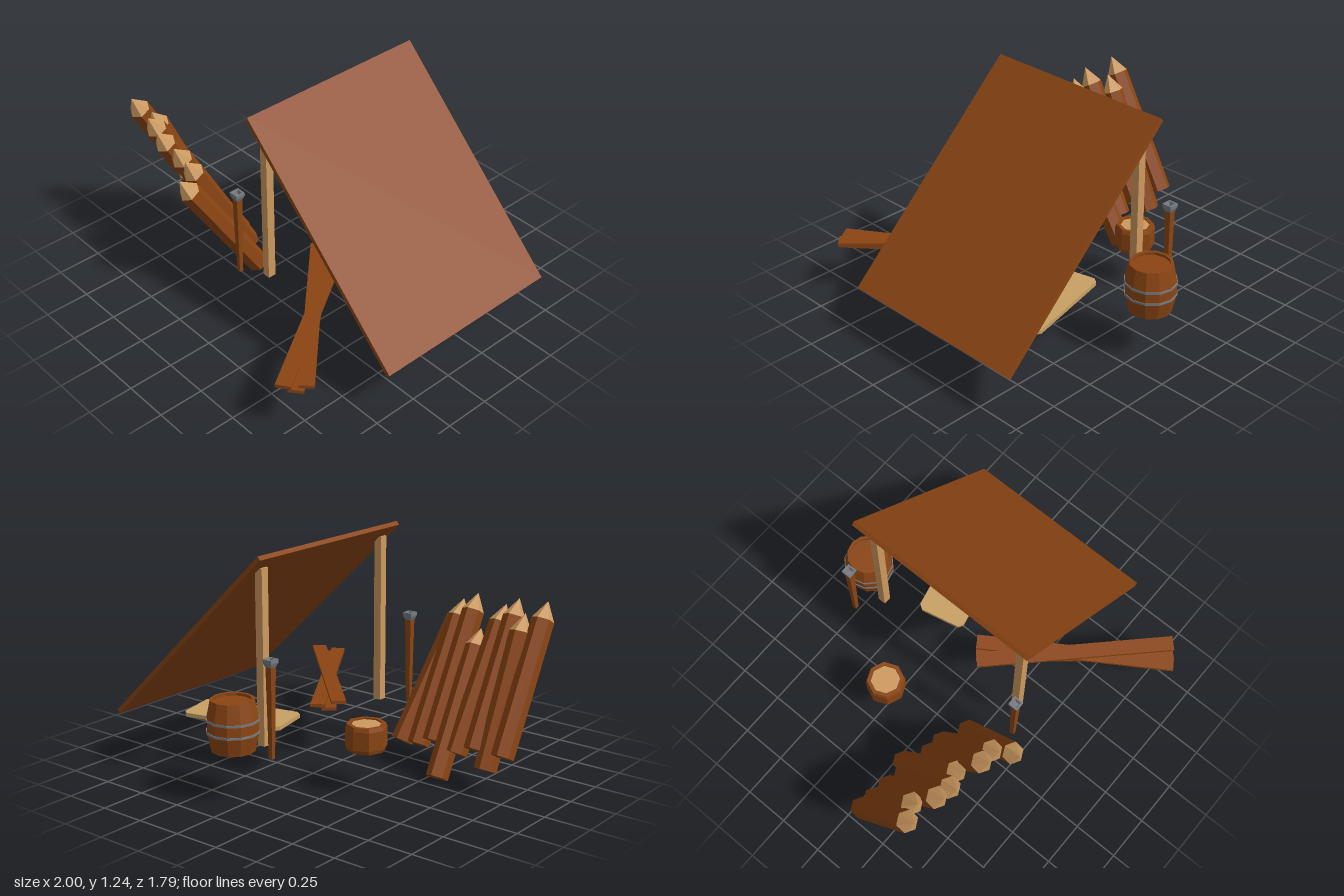
import * as THREE from 'three';

const mat = (color) => new THREE.MeshStandardMaterial({ color, flatShading: true });
const wood = mat(0x8b4513);
const paleWood = mat(0xcd9a5f);
const cloth = mat(0xc8a064);
const iron = mat(0x777b80);

function add(parent, name, geometry, material, x = 0, y = 0, z = 0) {
  const mesh = new THREE.Mesh(geometry, material);
  mesh.name = name;
  mesh.position.set(x, y, z);
  parent.add(mesh);
  return mesh;
}

function addGroup(parent, name, x = 0, y = 0, z = 0) {
  const group = new THREE.Group();
  group.name = name;
  group.position.set(x, y, z);
  parent.add(group);
  return group;
}

// Revolved low-poly shape from [radius, height] pairs, listed bottom to top
const turned = (points, sides) =>
  new THREE.LatheGeometry(points.map(([r, y]) => new THREE.Vector2(r, y)), sides);

// Sharpened six-sided log running from base to tip
function addStake(parent, base, tip) {
  const r = 0.059, point = 0.1;
  const axis = tip.clone().sub(base);
  const body = axis.length() - point;
  const stake = addGroup(parent, 'stake', base.x, base.y, base.z);
  stake.quaternion.setFromUnitVectors(new THREE.Vector3(0, 1, 0), axis.normalize());
  add(stake, 'stakeLog', new THREE.CylinderGeometry(r, r, body, 6), wood, 0, body / 2, 0);
  add(stake, 'stakePoint', new THREE.ConeGeometry(r, point, 6), paleWood, 0, body + point / 2, 0);
}

function addPalisade(parent) {
  const fence = addGroup(parent, 'palisade');
  // base x, y, z, then tip x, y, z
  const stakes = [
    [-0.955, 0.22, 0.07, -0.948, 0.94, 0.47],
    [-0.857, 0.13, 0.07, -0.855, 0.875, 0.41],
    [-0.773, 0.21, 0.10, -0.762, 0.92, 0.50],
    [-0.652, 0.16, 0.11, -0.678, 0.875, 0.51],
    [-0.588, 0.035, 0.035, -0.56, 0.735, 0.46],
    [-0.484, 0.18, 0.15, -0.478, 0.895, 0.55],
    [-0.388, 0.14, 0.15, -0.393, 0.853, 0.545],
    [-0.238, 0.11, 0.21, -0.335, 0.805, 0.63],
  ];
  for (const [a, b, c, d, e, f] of stakes) {
    addStake(fence, new THREE.Vector3(a, b, c), new THREE.Vector3(d, e, f));
  }
}

// Sloping roof board on two posts
function addLeanTo(parent) {
  const leanTo = addGroup(parent, 'leanTo');
  const roof = add(leanTo, 'roof', new THREE.BoxGeometry(1.42, 0.025, 1.11), wood, 0.472, 0.745, -0.135);
  roof.rotation.z = -0.763;
  for (const z of [-0.605, 0.347]) {
    add(leanTo, 'post', new THREE.BoxGeometry(0.045, 0.91, 0.045), paleWood, 0.02, 0.715, z);
  }
}

// Sleeping mat with clipped corners
function addMat(parent) {
  const w = 0.285, d = 0.135, c = 0.025;
  const outline = new THREE.Shape([
    [-w + c, -d], [w - c, -d], [w, -d + c], [w, d - c],
    [w - c, d], [-w + c, d], [-w, d - c], [-w, -d + c],
  ].map(([x, y]) => new THREE.Vector2(x, y)));
  const geometry = new THREE.ExtrudeGeometry(outline, { depth: 0.022, bevelEnabled: false });
  geometry.rotateX(-Math.PI / 2);
  add(parent, 'sleepingMat', geometry, cloth, 0.4, 0.26, -0.35).rotation.y = 0.22;
}

// Three planks stacked and fanned about their middles
function addPlanks(parent) {
  const stack = addGroup(parent, 'plankStack', 0.435, 0, 0.415);
  [[0.273, 0.69], [0.291, 0.575], [0.309, 0.785]].forEach(([y, turn]) => {
    add(stack, 'plank', new THREE.BoxGeometry(0.08, 0.018, 1.08), wood, 0, y, 0).rotation.y = turn;
  });
}

function addBarrel(parent) {
  const barrel = addGroup(parent, 'barrel', 0.083, 0.265, -0.762);
  add(barrel, 'barrelStaves', turned([
    [0, 0], [0.112, 0], [0.132, 0.095], [0.132, 0.17], [0.112, 0.265],
    [0.096, 0.265], [0.096, 0.25], [0, 0.25],
  ], 12), wood);
  for (const y of [0.1, 0.163]) {
    add(barrel, 'barrelHoop', turned([
      [0.13, y - 0.006], [0.136, y - 0.006], [0.136, y + 0.006], [0.13, y + 0.006],
    ], 12), iron);
  }
}

function addStump(parent) {
  const stump = addGroup(parent, 'stump', -0.36, 0.227, -0.262);
  add(stump, 'stumpBark', turned([
    [0, 0], [0.1, 0], [0.107, 0.02], [0.107, 0.118], [0.1, 0.138], [0.08, 0.138], [0.08, 0.128],
  ], 8), wood);
  const top = add(stump, 'stumpTop', new THREE.CircleGeometry(0.081, 8), paleWood, 0, 0.13, 0);
  top.rotation.x = -Math.PI / 2;
}

// Square tapered torch with an iron cup
function addTorch(parent, x, z) {
  const torch = addGroup(parent, 'torch', x, 0.245, z);
  torch.rotation.y = Math.PI / 4;
  const k = Math.SQRT2;
  add(torch, 'torchShaft', new THREE.CylinderGeometry(0.018 * k, 0.011 * k, 0.48, 4), wood, 0, 0.24, 0);
  add(torch, 'torchCup', turned([
    [0, 0.47], [0.019 * k, 0.47], [0.027 * k, 0.492], [0.027 * k, 0.51],
    [0.018 * k, 0.51], [0.012 * k, 0.49], [0, 0.49],
  ], 4), iron);
}

export function createModel() {
  const camp = new THREE.Group();
  camp.name = 'camp';
  addPalisade(camp);
  addLeanTo(camp);
  addMat(camp);
  addPlanks(camp);
  addBarrel(camp);
  addStump(camp);
  addTorch(camp, -0.115, -0.7);
  addTorch(camp, -0.12, 0.43);
  return camp;
}
